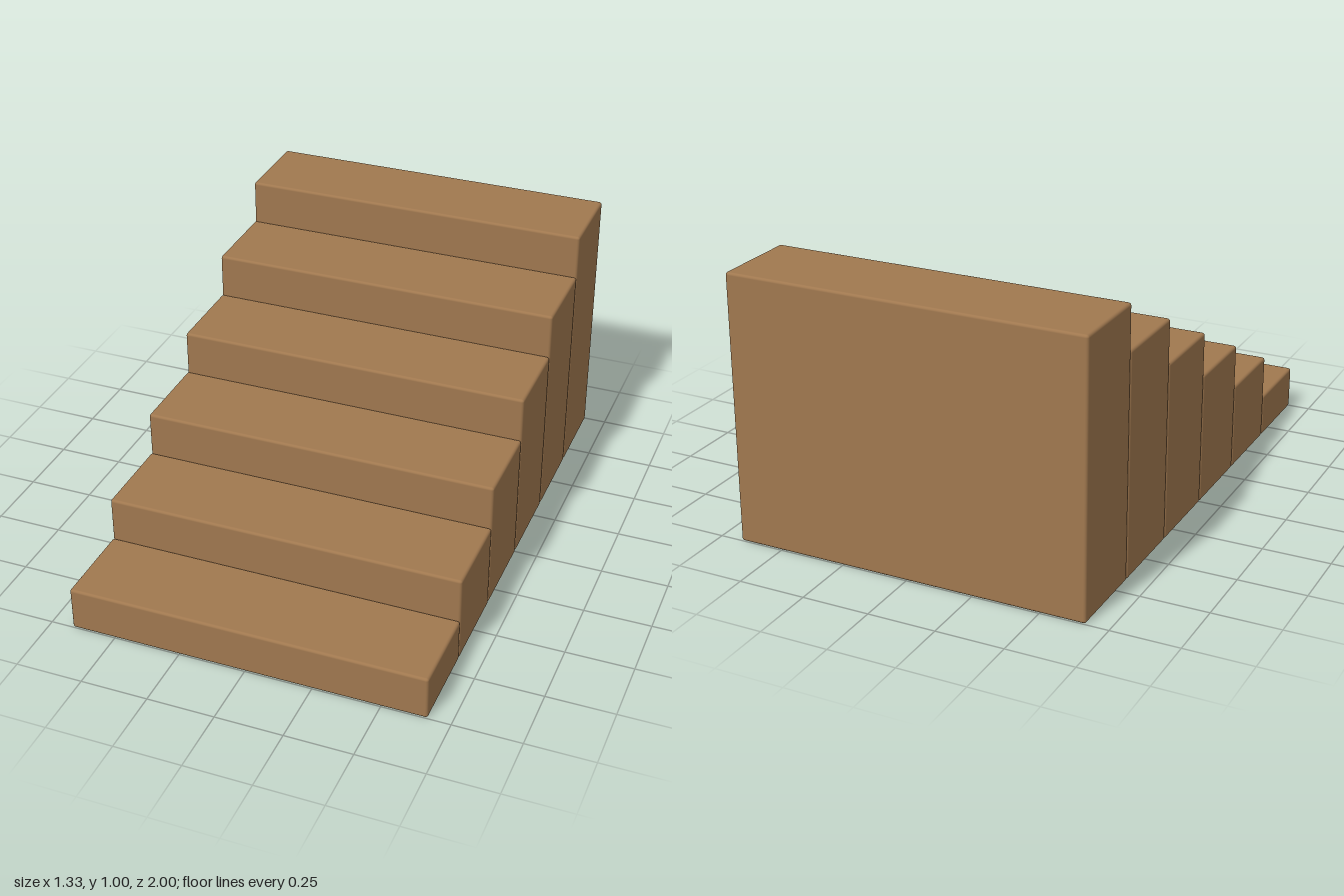
import * as THREE from 'three';
import { RoundedBoxGeometry } from 'three/addons/geometries/RoundedBoxGeometry.js';

const STEPS = 6;
const WIDTH = 4 / 3;
const DEPTH = 2 / STEPS;
const RISE = 1 / STEPS;
const BEVEL = 0.01;

export function createModel() {
  const stairs = new THREE.Group();
  stairs.name = 'stairs';
  const wood = new THREE.MeshStandardMaterial({ color: 0xa0784f });

  // Solid blocks with softened edges, rising from front to back
  for (let i = 0; i < STEPS; i++) {
    const height = RISE * (i + 1);
    const step = new THREE.Mesh(new RoundedBoxGeometry(WIDTH, height, DEPTH, 2, BEVEL), wood);
    step.name = `step${i + 1}`;
    step.position.set(0, height / 2, 1 - DEPTH * (i + 0.5));
    stairs.add(step);
  }
  return stairs;
}
